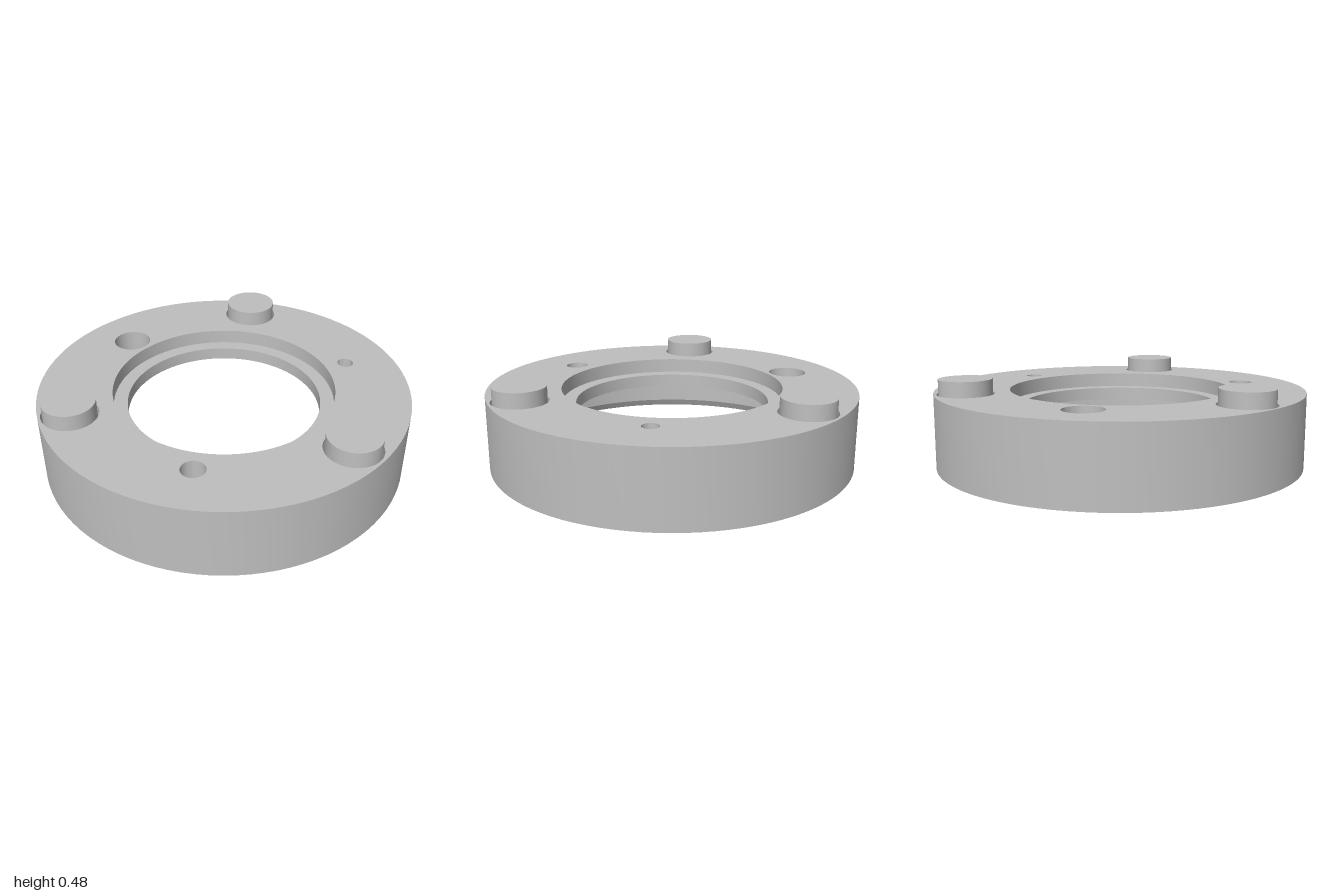
import * as THREE from 'three';
import { toCreasedNormals } from 'three/addons/utils/BufferGeometryUtils.js';

const SEGMENTS = 96;
const TOP = 0.4, LEDGE = 0.32, UNDERSIDE = 0.25;
const BORE = 0.525, COUNTERBORE = 0.6, CAVITY = 0.93;
const PEG_RADIUS = 0.14, POCKET_RADIUS = 0.15;

// Points on a circle, measured counter-clockwise from +x when seen from above
const polar = (radius, degrees) => {
  const a = THREE.MathUtils.degToRad(degrees);
  return { x: radius * Math.cos(a), z: -radius * Math.sin(a) };
};
const pegs = [60, 180, 300].map((a) => ({ ...polar(0.835, a), r: POCKET_RADIUS }));
const holes = [[0, 0.044], [120, 0.104], [240, 0.063]].map(([a, r]) => ({ ...polar(0.725, a), r }));

// Turned surface with sharp edges; the solid lies to the left of the profile
function turned(points) {
  const lathe = new THREE.LatheGeometry(points.map(([r, y]) => new THREE.Vector2(r, y)), SEGMENTS);
  return toCreasedNormals(lathe, Math.PI / 7);
}

// Flat disc face with round openings, facing up (1) or down (-1)
function face(radius, openings, y, facing) {
  const shape = new THREE.Shape();
  shape.absarc(0, 0, radius, 0, Math.PI * 2);
  for (const o of openings) {
    const path = new THREE.Path();
    path.absarc(o.x, -facing * o.z, o.r, 0, Math.PI * 2, true);
    shape.holes.push(path);
  }
  return new THREE.ShapeGeometry(shape, SEGMENTS / 2).rotateX(-facing * Math.PI / 2).translate(0, y, 0);
}

export function createModel() {
  const model = new THREE.Group();
  model.name = 'ringCap';
  const grey = new THREE.MeshStandardMaterial({ color: 0xbfbfbf });
  grey.name = 'grey';

  const add = (name, geometry, x = 0, z = 0) => {
    const mesh = new THREE.Mesh(geometry, grey);
    mesh.name = name;
    mesh.position.set(x, 0, z);
    model.add(mesh);
  };

  // Outer wall, bottom rim, inner chamfer and cavity wall
  add('outerSkirt', turned([[CAVITY, UNDERSIDE], [CAVITY, 0.04], [0.95, 0], [1, 0], [1, TOP]]));

  // Stepped central opening
  add('centralBore', turned([[COUNTERBORE, TOP], [COUNTERBORE, LEDGE], [BORE, LEDGE], [BORE, UNDERSIDE]]));

  // Upper and lower faces of the plate
  add('topFace', face(1, [{ x: 0, z: 0, r: COUNTERBORE }, ...holes, ...pegs], TOP, 1));
  add('undersideFace', face(CAVITY, [{ x: 0, z: 0, r: BORE }, ...holes], UNDERSIDE, -1));

  // Three through holes of different sizes
  for (const h of holes) add('throughHole', turned([[h.r, TOP], [h.r, UNDERSIDE]]), h.x, h.z);

  // Round pegs seated in slightly wider pockets
  for (const p of pegs) {
    add('pegPocket', turned([[POCKET_RADIUS, TOP], [POCKET_RADIUS, LEDGE], [PEG_RADIUS, LEDGE]]), p.x, p.z);
    const peg = new THREE.CylinderGeometry(PEG_RADIUS, PEG_RADIUS, 0.16, SEGMENTS);
    add('peg', peg.translate(0, LEDGE + 0.08, 0), p.x, p.z);
  }
  return model;
}
